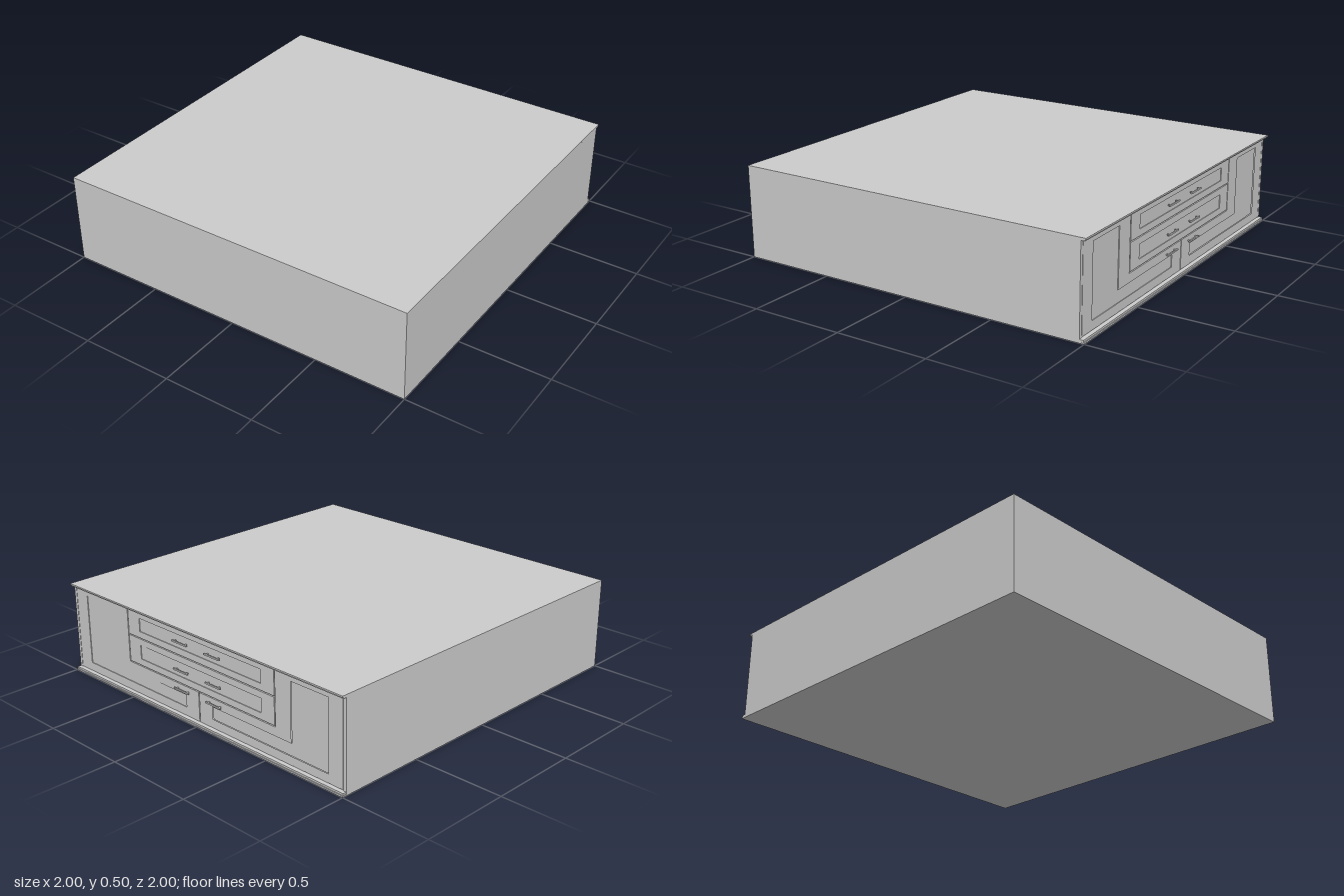
import * as THREE from 'three';

const mat = new THREE.MeshStandardMaterial({ color: 0xcccccc });

export function createModel() {
  const root = new THREE.Group();

  // Box given by its min and max corners
  function box(name, x0, x1, y0, y1, z0, z1, parent = root) {
    const m = new THREE.Mesh(new THREE.BoxGeometry(x1 - x0, y1 - y0, z1 - z0), mat);
    m.position.set((x0 + x1) / 2, (y0 + y1) / 2, (z0 + z1) / 2);
    m.name = name;
    parent.add(m);
  }

  const FACE = -0.975; // plane of the door and drawer faces
  const toPoints = (pts, s = 1) => pts.map(([x, y]) => new THREE.Vector2(x * s, y));
  const rect = (x0, x1, y0, y1) => [[x0, y0], [x1, y0], [x1, y1], [x0, y1]];

  function plate(name, shape, z0, z1, parent) {
    const geo = new THREE.ExtrudeGeometry(shape, { depth: z1 - z0, bevelEnabled: false });
    const m = new THREE.Mesh(geo, mat);
    m.position.z = z0;
    m.name = name;
    parent.add(m);
  }

  // Framed front with a slightly recessed panel
  function framedFront(name, outline, inset, s = 1) {
    const g = new THREE.Group();
    g.name = name;
    const frame = new THREE.Shape(toPoints(outline, s));
    frame.holes.push(new THREE.Path(toPoints(inset, s)));
    plate('frame', frame, FACE, -0.96, g);
    plate('panel', new THREE.Shape(toPoints(inset, s)), -0.971, -0.96, g);
    root.add(g);
  }

  // Bar handle on two posts
  function handle(x, y) {
    const g = new THREE.Group();
    g.name = 'handle';
    box('bar', x - 0.055, x + 0.055, y - 0.004, y + 0.004, -0.992, -0.985, g);
    for (const dx of [-0.04, 0.04]) {
      box('post', x + dx - 0.004, x + dx + 0.004, y - 0.003, y + 0.003, -0.986, FACE, g);
    }
    root.add(g);
  }

  // Carcass with top and base slabs that overhang the fronts
  box('carcass', -0.985, 0.985, 0.012, 0.488, -0.962, 0.99);
  box('closedFace', -1, 1, 0.008, 0.492, 0.98, 1);
  box('topSlab', -1, 1, 0.492, 0.5, -1, 1);
  box('topMoulding', -0.999, 0.999, 0.485, 0.493, -0.995, -0.9);
  box('baseSlab', -1, 1, 0, 0.008, -1, 1);
  box('baseMoulding', -0.999, 0.999, 0.007, 0.018, -0.995, -0.9);
  for (const s of [-1, 1]) {
    box('sidePanel', s > 0 ? 0.982 : -1, s > 0 ? 1 : -0.982, 0.008, 0.492, FACE, 0.99);
  }

  // Two wide drawers
  for (const [y0, y1] of [[0.188, 0.334], [0.34, 0.482]]) {
    framedFront('drawer', rect(-0.54, 0.54, y0, y1), rect(-0.45, 0.45, y0 + 0.035, y1 - 0.035));
  }

  // L-shaped fronts wrapping the drawers on both sides
  const outline = [[0.003, 0.021], [0.979, 0.021], [0.979, 0.482], [0.546, 0.482], [0.546, 0.182], [0.003, 0.182]];
  const inset = [[0.1, 0.068], [0.89, 0.068], [0.89, 0.45], [0.65, 0.45], [0.65, 0.135], [0.1, 0.135]];
  for (const s of [-1, 1]) {
    framedFront('cornerFront', outline, inset, s);
    for (const y of [0.155, 0.26, 0.412]) handle(s * 0.12, y);
  }

  return root;
}
